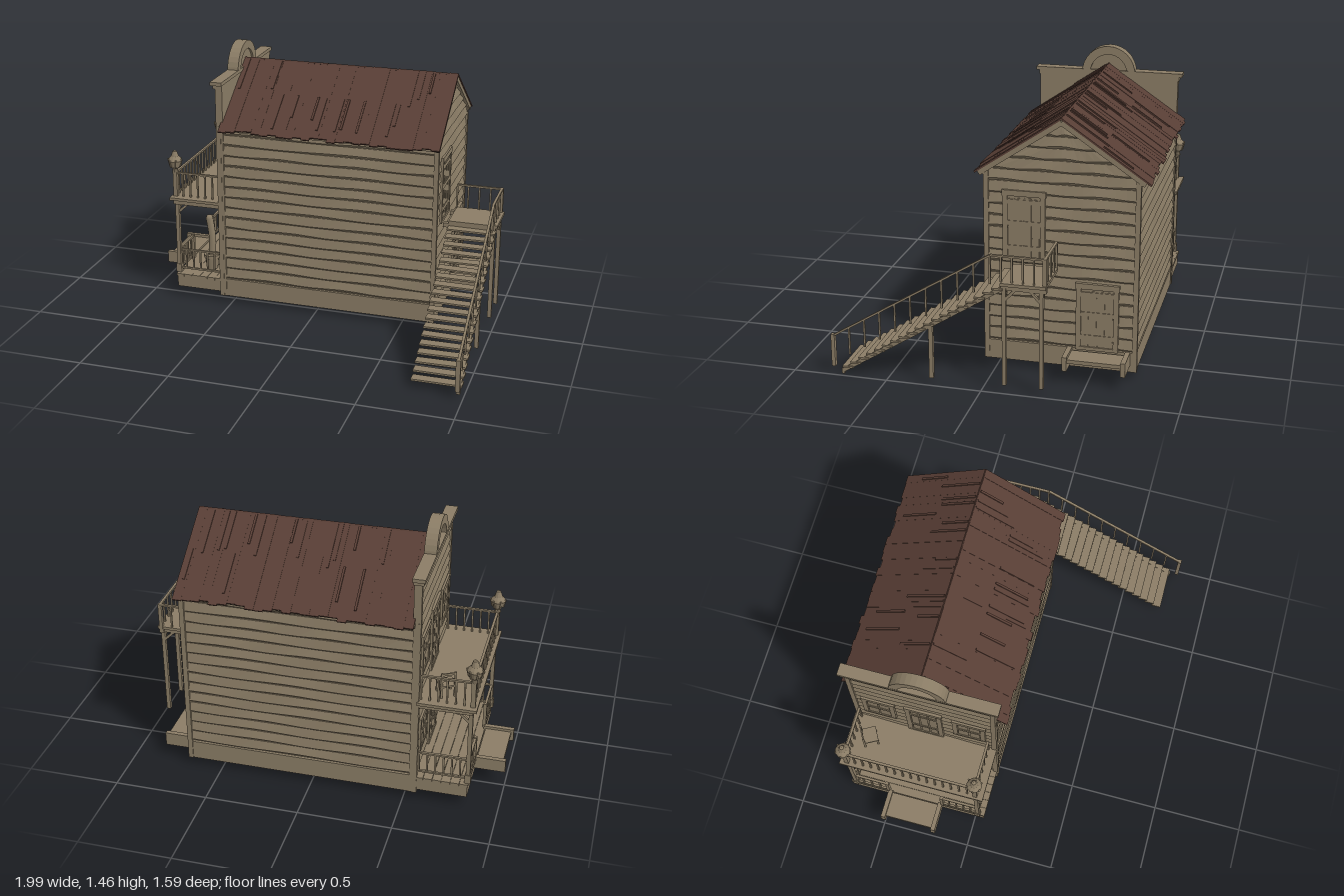
import * as THREE from 'three';

const wood = new THREE.MeshStandardMaterial({ color: 0x8a7c65 });
wood.name = 'weathered wood';
const rust = new THREE.MeshStandardMaterial({ color: 0x583e35 });
rust.name = 'rusty roof';
const ZC = -0.335; // centre line of the building

let seed = 7;
const rnd = () => (seed = (seed * 16807) % 2147483647) / 2147483647;

function add(parent, name, geo, mat = wood) {
  const m = new THREE.Mesh(geo, mat);
  m.name = name;
  parent.add(m);
  return m;
}
// Box given by its limits on each axis
function box(parent, name, x0, x1, y0, y1, z0, z1, mat) {
  const m = add(parent, name, new THREE.BoxGeometry(x1 - x0, y1 - y0, z1 - z0), mat);
  m.position.set((x0 + x1) / 2, (y0 + y1) / 2, (z0 + z1) / 2);
  return m;
}
// Four boards around an open bottom
function skirt(parent, name, x0, x1, y0, y1, z0, z1, t) {
  for (const z of [z0, z1 - t]) box(parent, name, x0, x1, y0, y1, z, z + t);
  for (const x of [x0, x1 - t]) box(parent, name, x, x + t, y0, y1, z0 + t, z1 - t);
}
// Square bar between two points
function bar(parent, name, a, b, w, h = w) {
  const p = new THREE.Vector3(...a), q = new THREE.Vector3(...b);
  const m = add(parent, name, new THREE.BoxGeometry(w, h, p.distanceTo(q)));
  m.position.copy(p).add(q).multiplyScalar(0.5);
  m.lookAt(q);
  return m;
}
// Top rail, bottom rail and balusters; the ends are floor-level points
function railing(parent, a, b, low, high, step = 0.045) {
  const g = new THREE.Group();
  g.name = 'railing';
  parent.add(g);
  const up = (p, d) => [p[0], p[1] + d, p[2]];
  bar(g, 'topRail', up(a, high), up(b, high), 0.014, 0.01);
  if (low > 0) bar(g, 'bottomRail', up(a, low), up(b, low), 0.012, 0.01);
  const n = Math.max(2, Math.round(Math.hypot(a[0] - b[0], a[2] - b[2]) / step));
  for (let i = 0; i <= n; i++) {
    const p = a.map((v, k) => v + (b[k] - v) * i / n);
    bar(g, 'baluster', up(p, low), [p[0] + 0.001, p[1] + high, p[2]], 0.009);
  }
}
// Warped clapboard: flares out downwards, with a wavy bevelled lower edge
function clapboard(parent, len, topLen, y, h) {
  const geo = new THREE.BoxGeometry(1, h, 0.01, 14, 2, 1), p = geo.attributes.position;
  const s = rnd() * 6, f = 9 + rnd() * 9;
  for (let i = 0; i < p.count; i++) {
    const row = Math.sign(Math.round(p.getY(i) * 1000)), u = p.getX(i), front = p.getZ(i) > 0;
    p.setX(i, u * (row > 0 ? topLen : len));
    const wave = Math.sin(u * f + s);
    if (row > 0) { if (front) p.setZ(i, 0.003); continue; }
    p.setY(i, -h / 2 + (row < 0 ? 0.003 * wave : 0.013 + 0.005 * wave));
    if (front) p.setZ(i, row < 0 ? 0.001 : 0.014 + 0.002 * wave);
  }
  const flat = geo.toNonIndexed();
  flat.computeVertexNormals();
  add(parent, 'clapboard', flat).position.y = y + h / 2;
}
// Wall frame: local x runs along the wall, local z points outwards
function wall(parent, name, x, z, turn) {
  const g = new THREE.Group();
  g.name = name;
  g.position.set(x, 0, z);
  g.rotation.y = turn;
  parent.add(g);
  return g;
}
// Framed door or window with boards or panes
function opening(parent, name, u, y0, w, h, cols, bars) {
  const g = new THREE.Group();
  g.name = name;
  g.position.set(u, y0, 0.002);
  parent.add(g);
  const t = 0.026, W = w / 2;
  box(g, 'panel', -W + t, W - t, 0, h - t, 0, 0.013);
  for (const s of [-1, 1]) {
    const j = box(g, 'jamb', -t / 2, t / 2, 0, h, 0, 0.02);
    j.position.x = s * (W - t / 2);
  }
  box(g, 'lintel', -W - 0.004, W + 0.004, h - t, h + 0.004, 0, 0.022);
  box(g, 'sill', -W, W, 0, 0.018, 0, 0.021);
  const cw = (w - 2 * t) / cols;
  for (let i = 0; i < cols; i++) {
    const x = -W + t + i * cw;
    box(g, 'board', x + 0.004, x + cw - 0.004, 0.02, h - t - 0.006 - rnd() * 0.012, 0.008, 0.016);
  }
  for (const b of bars) box(g, 'crossBar', -W + t, W - t, h * b - 0.012, h * b + 0.012, 0.012, 0.019);
}
// Low step with two cheek boards, reaching out in x
function porchStep(parent, x0, x1, y0, y1, z0, z1) {
  const g = new THREE.Group();
  g.name = 'doorStep';
  parent.add(g);
  for (const z of [z0, z1 - 0.025]) box(g, 'cheek', x0, x1, y0, y1, z, z + 0.025);
  box(g, 'tread', x0 + 0.015, x1 - 0.01, y1 - 0.035, y1 - 0.015, z0 + 0.01, z1 - 0.01);
}

export function createModel() {
  const root = new THREE.Group();
  root.name = 'woodenTownHouse';

  // Building core with gable, standing on an open-bottomed skirt
  const s = new THREE.Shape([[-0.38, 0.143], [0.38, 0.143], [0.38, 1.07], [0, 1.335], [-0.38, 1.07]]
    .map(p => new THREE.Vector2(...p)));
  const core = add(root, 'buildingCore', new THREE.ExtrudeGeometry(s, { depth: 1.22, bevelEnabled: false }));
  core.rotation.y = Math.PI / 2;
  core.position.set(-0.55, 0, ZC);
  skirt(root, 'foundationBoard', -0.56, 0.688, 0.04, 0.145, -0.73, 0.06, 0.015);
  for (const x of [-0.556, 0.676]) for (const z of [-0.722, 0.052])
    box(root, 'cornerBoard', x - 0.013, x + 0.013, 0.04, 1.06, z - 0.013, z + 0.013);

  // Siding on the long walls, the gable wall and the false front
  const front = wall(root, 'frontWall', 0.06, ZC + 0.382, 0);
  const back = wall(root, 'backWall', 0.06, ZC - 0.382, Math.PI);
  const gable = wall(root, 'gableWall', 0.672, ZC, Math.PI / 2);
  const face = wall(root, 'falseFront', -0.552, ZC, -Math.PI / 2);
  const pitch = 0.0615, gableWidth = y => Math.max(0.01, Math.min(0.765, 2 * (1.335 - y) / 0.697));
  for (let i = 0; i < 19; i++) {
    const y = 0.148 + i * pitch;
    if (i < 15) for (const g of [front, back]) clapboard(g, 1.22, 1.22, y, pitch);
    clapboard(gable, gableWidth(y), gableWidth(y + pitch), y, pitch);
    if (y + pitch < 1.3) clapboard(face, 0.765, 0.765, y, pitch);
  }

  // False front: plate, cornice and arch
  box(face, 'frontPlate', -0.395, 0.395, 0.143, 1.3, -0.022, 0);
  for (const e of [-1, 1]) box(face, 'edgeBoard', e * 0.385 - 0.013, e * 0.385 + 0.013, 0.04, 1.3, -0.022, 0.018);
  box(face, 'corniceLower', -0.405, 0.405, 1.275, 1.298, -0.024, 0.028);
  box(face, 'corniceUpper', -0.422, 0.422, 1.298, 1.318, -0.028, 0.038);
  const arch = new THREE.Shape();
  arch.absarc(0, 0, 0.152, 0, Math.PI, false);
  arch.absarc(0, 0, 0.105, Math.PI, 0, true);
  const ring = add(face, 'archMoulding', new THREE.ExtrudeGeometry(arch, { depth: 0.064, bevelEnabled: false, curveSegments: 8 }));
  ring.position.set(0, 1.303, -0.027);
  const half = new THREE.Shape();
  half.absarc(0, 0, 0.108, 0, Math.PI, false);
  const fill = add(face, 'archPanel', new THREE.ExtrudeGeometry(half, { depth: 0.025, bevelEnabled: false, curveSegments: 8 }));
  fill.position.set(0, 1.303, -0.016);

  // Doors and windows
  for (const z of [-0.25, 0.25]) {
    opening(face, 'upperWindow', z, 0.73, 0.18, 0.22, 2, [0.5]);
    opening(face, 'lowerWindow', z, 0.26, 0.18, 0.2, 2, [0.5]);
  }
  opening(face, 'balconyDoor', 0, 0.61, 0.2, 0.36, 3, [0.3, 0.75]);
  opening(face, 'entranceDoor', 0, 0.145, 0.2, 0.36, 3, [0.3, 0.75]);
  opening(gable, 'upperSideDoor', -0.19, 0.59, 0.22, 0.375, 4, [0.2, 0.55, 0.85]);
  opening(gable, 'lowerSideDoor', 0.192, 0.14, 0.22, 0.36, 4, [0.2, 0.55, 0.85]);

  // Roof of uneven metal strips, with barge boards under the gable end
  const slope = Math.atan2(0.304, 0.448);
  for (const e of [-1, 1]) {
    const g = new THREE.Group();
    g.name = 'roofSlope';
    g.position.set(0, 1.36, ZC);
    g.rotation.set(e * slope, e < 0 ? Math.PI : 0, 0);
    root.add(g);
    const n = 26, w = 1.24 / n;
    for (let i = 0; i < n; i++) {
      const x = e * 0.08 - 0.62 + i * w, end = 0.53 + rnd() * 0.022;
      box(g, 'roofStrip', x, x + w, -0.01, -0.003 + 0.003 * rnd(), -0.002, end, rust);
      // Loose narrow slats
      if (rnd() < 0.6) {
        const z = rnd() < 0.5 ? 0.01 : 0.25, px = x + w * rnd() * 0.7;
        box(g, 'looseSlat', px, px + 0.012, -0.004, 0.004, z, z + 0.14 + rnd() * 0.12, rust);
      }
    }
    bar(root, 'bargeBoard', [0.685, 1.335, ZC], [0.685, 1.048, ZC + e * 0.424], 0.022, 0.03);
    box(root, 'eaveBoard', -0.54, 0.69, 1.04, 1.062, ZC + e * 0.405 - 0.012, ZC + e * 0.405 + 0.012);
  }

  // Porch and balcony
  const porch = new THREE.Group();
  porch.name = 'porch';
  root.add(porch);
  const zs = [-0.705, 0.02];
  skirt(porch, 'porchSkirt', -0.835, -0.55, 0.06, 0.125, -0.73, 0.055, 0.015);
  for (let i = 0; i < 6; i++) {
    const x = -0.84 + i * 0.0475;
    box(porch, 'porchBoard', x, x + 0.046, 0.125, 0.14, -0.735, 0.06);
  }
  box(porch, 'balconyBeam', -0.845, -0.56, 0.568, 0.592, -0.73, 0.055);
  box(porch, 'balconyDeck', -0.865, -0.56, 0.592, 0.608, -0.745, 0.065);
  const urn = [[0, 0], [0.018, 0], [0.014, 0.02], [0.03, 0.035], [0.042, 0.07], [0.036, 0.08], [0.022, 0.095], [0.012, 0.125], [0, 0.13]]
    .map(p => new THREE.Vector2(...p));
  const urnGeo = new THREE.LatheGeometry(urn, 10).toNonIndexed();
  urnGeo.computeVertexNormals();
  zs.forEach((z, i) => {
    const d = i ? -1 : 1;
    box(porch, 'porchPost', -0.845, -0.823, 0.14, 0.57, z - 0.011, z + 0.011);
    box(porch, 'postFoot', -0.85, -0.818, 0.14, 0.19, z - 0.016, z + 0.016);
    box(porch, 'balconyPost', -0.853, -0.829, 0.6, 0.76, z - 0.012, z + 0.012);
    add(porch, 'postLantern', urnGeo).position.set(-0.841, 0.752, z);
    for (let k = 0; k < 6; k++) {
      const a = k * Math.PI / 3, c = Math.cos(a), q = Math.sin(a);
      bar(porch, 'lanternRib', [-0.841 + c * 0.03, 0.785, z + q * 0.03], [-0.841 + c * 0.041, 0.83, z + q * 0.041], 0.008);
    }
    bar(porch, 'brace', [-0.834, 0.505, z], [-0.765, 0.57, z], 0.014);
    bar(porch, 'brace', [-0.834, 0.505, z], [-0.834, 0.57, z + d * 0.07], 0.014);
    railing(porch, [-0.575, 0.14, z], [-0.834, 0.14, z], 0.025, 0.14);
    railing(porch, [-0.575, 0.608, z], [-0.841, 0.608, z], 0, 0.14);
    const gate = i ? -0.19 : -0.51;
    railing(porch, [-0.834, 0.14, z], [-0.834, 0.14, gate], 0.025, 0.14);
    box(porch, 'gatePost', -0.843, -0.825, 0.14, 0.29, gate - 0.009, gate + 0.009);
  });
  railing(porch, [-0.841, 0.608, zs[0]], [-0.841, 0.608, zs[1]], 0, 0.14);
  porchStep(root, -1, -0.835, 0.09, 0.16, -0.51, -0.19);
  porchStep(root, 0.685, 0.83, 0.075, 0.15, -0.7, -0.375);

  // Chair on the balcony
  const chair = new THREE.Group();
  chair.name = 'chair';
  chair.position.set(-0.685, 0.608, -0.62);
  chair.rotation.y = 0.5;
  root.add(chair);
  box(chair, 'seat', -0.042, 0.042, 0.06, 0.07, -0.042, 0.042);
  for (const x of [-0.036, 0.036]) for (const z of [-0.036, 0.036])
    box(chair, 'chairLeg', x - 0.005, x + 0.005, 0, z < 0 ? 0.145 : 0.065, z - 0.005, z + 0.005);
  for (const y of [0.095, 0.13]) box(chair, 'backSlat', -0.04, 0.04, y, y + 0.012, -0.04, -0.033);

  // Potted cactus on the porch
  const cactus = new THREE.Group();
  cactus.name = 'pottedCactus';
  cactus.position.set(-0.672, 0.14, -0.08);
  root.add(cactus);
  add(cactus, 'pot', new THREE.CylinderGeometry(0.042, 0.032, 0.08, 10)).position.y = 0.04;
  add(cactus, 'potRim', new THREE.CylinderGeometry(0.047, 0.047, 0.018, 10)).position.y = 0.078;
  const stem = new THREE.CatmullRomCurve3([[0, 0.07, 0], [0.006, 0.17, 0], [0, 0.25, 0], [-0.01, 0.31, 0]].map(p => new THREE.Vector3(...p)));
  add(cactus, 'stem', new THREE.TubeGeometry(stem, 8, 0.022, 8));
  add(cactus, 'stemTip', new THREE.SphereGeometry(0.022, 8, 6)).position.set(-0.01, 0.31, 0);

  // Outside staircase and landing
  const stairs = new THREE.Group();
  stairs.name = 'outsideStairs';
  root.add(stairs);
  box(stairs, 'landingDeck', 0.72, 0.99, 0.572, 0.588, -0.33, -0.1);
  for (const z of [-0.305, -0.115]) {
    box(stairs, 'landingBeam', 0.69, 0.98, 0.548, 0.572, z - 0.012, z + 0.012);
    box(stairs, 'landingPost', 0.956, 0.978, 0.035, 0.55, z - 0.01, z + 0.01);
    bar(stairs, 'brace', [0.967, 0.49, z], [0.9, 0.555, z], 0.014);
    bar(stairs, 'brace', [0.967, 0.49, z], [0.967, 0.555, z + (z < -0.2 ? 0.06 : -0.06)], 0.014);
  }
  box(stairs, 'landingBeam', 0.956, 0.978, 0.548, 0.572, -0.33, -0.1);
  railing(stairs, [0.72, 0.588, -0.322], [0.97, 0.588, -0.322], 0, 0.135, 0.06);
  railing(stairs, [0.97, 0.588, -0.322], [0.97, 0.588, -0.045], 0, 0.135, 0.06);
  box(stairs, 'cornerPost', 0.96, 0.98, 0.55, 0.728, -0.332, -0.312);
  bar(stairs, 'stringer', [0.967, 0.016, 0.745], [0.967, 0.552, -0.1], 0.02, 0.022);
  for (let i = 0; i < 19; i++) {
    const z = 0.715 - i * 0.0442, y = 0.042 + i * 0.0284;
    const t = box(stairs, 'tread', 0.72, 0.985, y - 0.005, y + 0.005, z - 0.028, z + 0.028);
    t.rotation.z = (rnd() - 0.5) * 0.02;
    t.rotation.y = (rnd() - 0.5) * 0.03;
  }
  railing(stairs, [0.972, 0.075, 0.785], [0.972, 0.588, -0.045], -0.015, 0.135, 0.083);
  box(stairs, 'newelPost', 0.96, 0.984, 0.04, 0.215, 0.78, 0.8);
  box(stairs, 'stairPost', 0.956, 0.978, 0.03, 0.33, 0.255, 0.277);
  box(stairs, 'stringerFoot', 0.957, 0.977, 0, 0.02, 0.735, 0.75);
  return root;
}
